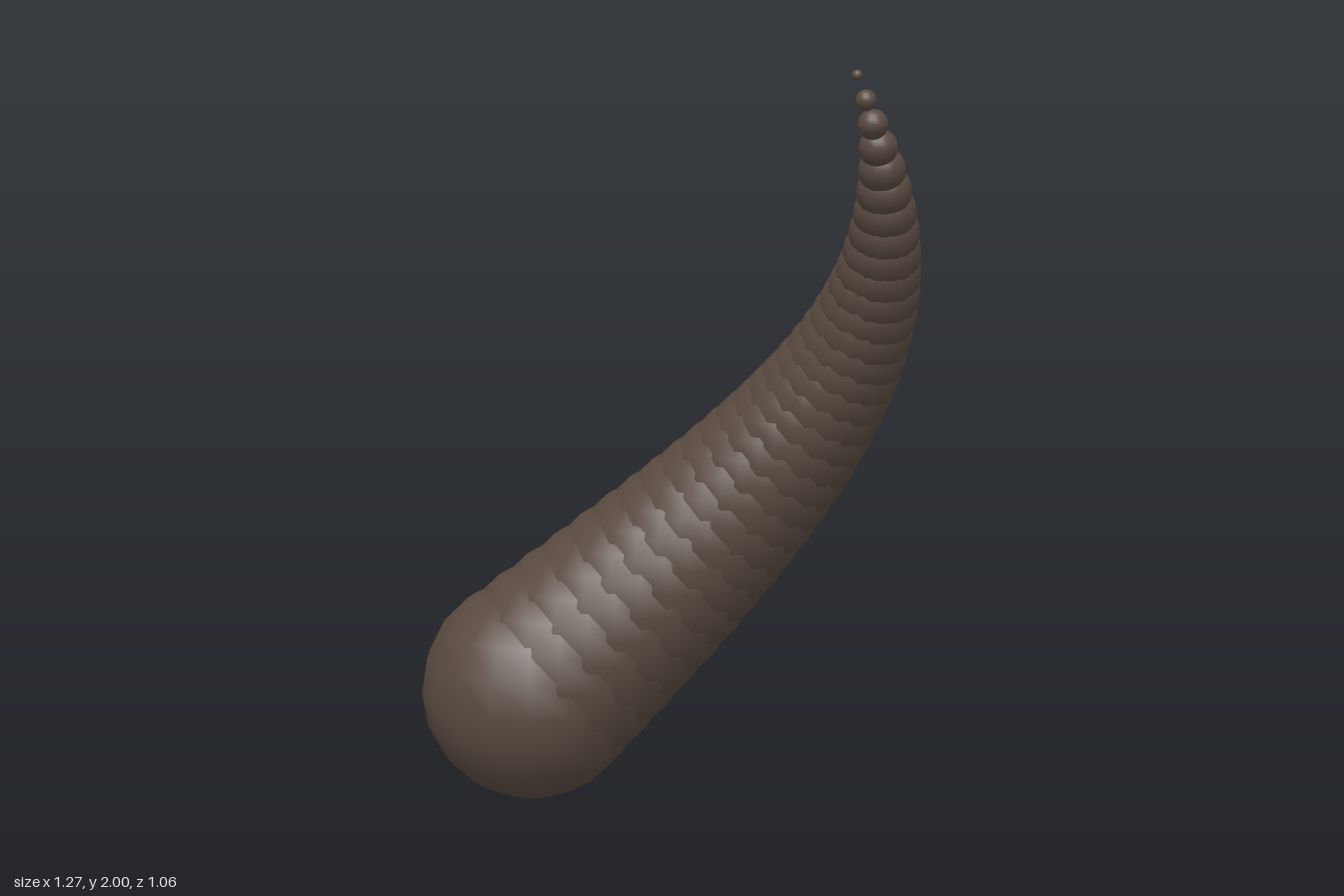
import * as THREE from 'three';

// A curved, tapering horn built from a chain of overlapping spheres.
export function createModel() {
  const model = new THREE.Group();
  model.name = 'horn';

  const hornBrown = new THREE.MeshStandardMaterial({ color: 0x594a40 });
  hornBrown.name = 'horn brown';

  // Centre line from the thick base to the tip
  const path = new THREE.CubicBezierCurve3(
    new THREE.Vector3(-0.325, 0.31, -0.225),
    new THREE.Vector3(0.5, 1.0, -0.22),
    new THREE.Vector3(0.695, 1.4, 0.215),
    new THREE.Vector3(0.35, 1.987, 0.515)
  );

  // Ring segments, shrinking towards the tip
  const steps = 30;
  for (let i = 0; i <= steps; i++) {
    const t = i / steps;
    const radius = 0.013 + 0.297 * Math.pow(1 - t, 0.93);
    const segment = new THREE.Mesh(new THREE.SphereGeometry(radius, 18, 10), hornBrown);
    segment.position.copy(path.getPoint(t));
    segment.name = i === 0 ? 'hornBase' : i === steps ? 'hornTip' : `hornSegment${i}`;
    model.add(segment);
  }

  return model;
}
